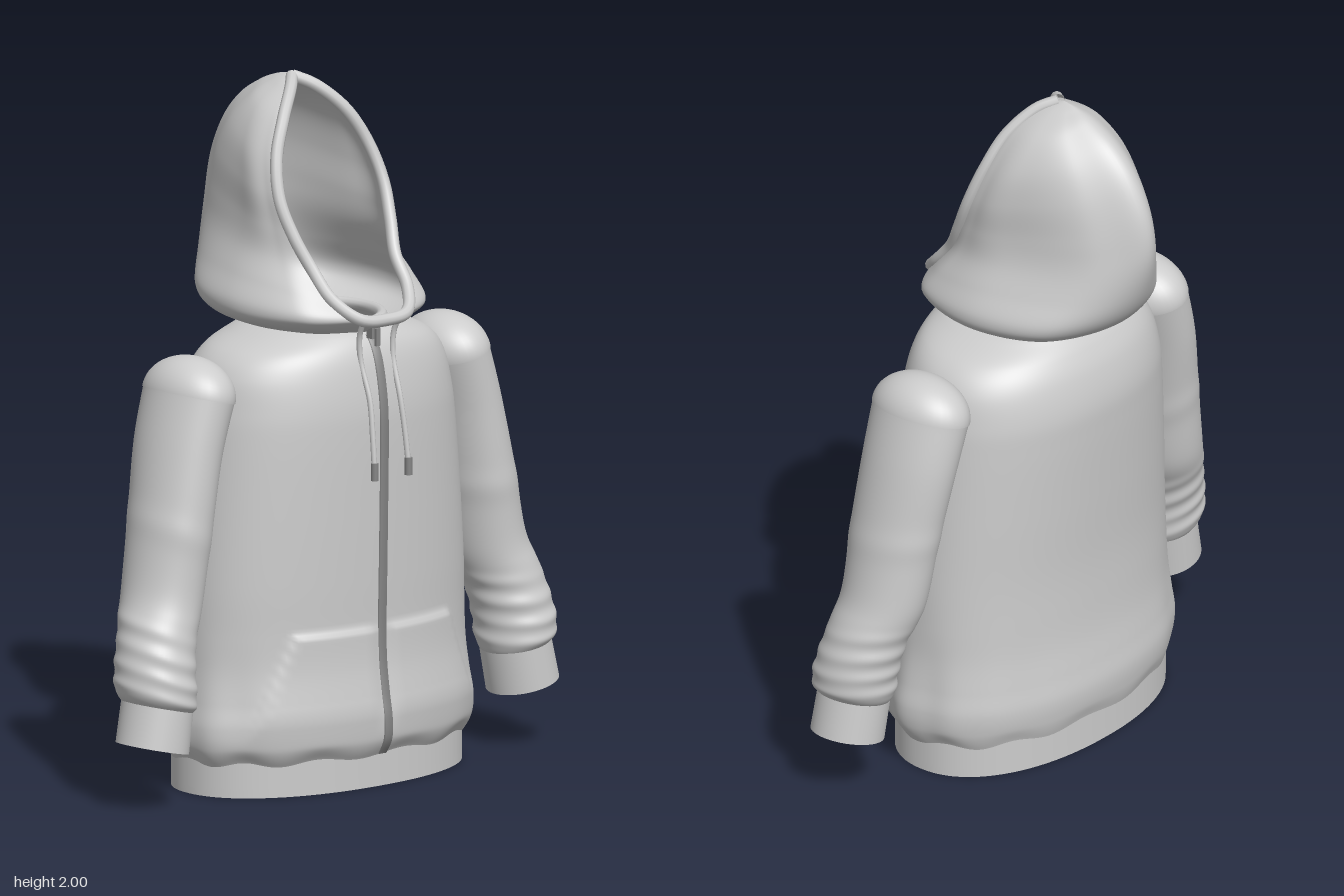
import * as THREE from 'three';

const fabric = new THREE.MeshStandardMaterial({ color: 0xcccccc, side: THREE.DoubleSide });
fabric.name = 'light grey fabric';
const metal = new THREE.MeshStandardMaterial({ color: 0x858585, side: THREE.DoubleSide });
metal.name = 'dark grey metal';

const { smoothstep, lerp } = THREE.MathUtils;
const bump = (d, w) => Math.exp(-(d * d) / (w * w));

// Smooth interpolation of table rows, t from 0 to 1
function sample(rows, t) {
  const n = rows.length - 1;
  const i = Math.min(n - 1, Math.floor(t * n));
  const f = t * n - i;
  const at = k => rows[Math.max(0, Math.min(n, k))];
  return rows[i].map((b, k) => {
    const a = at(i - 1)[k], c = at(i + 1)[k], d = at(i + 2)[k];
    return b + 0.5 * f * (c - a + f * (2 * a - 5 * b + 4 * c - d + f * (3 * (b - c) + d - a)));
  });
}

// Surface grid from fn(u, v) -> [x, y, z]; u may wrap around
function grid(nu, nv, fn, wrap = true) {
  const pos = [], index = [], cols = wrap ? nu : nu + 1;
  for (let j = 0; j <= nv; j++)
    for (let i = 0; i < cols; i++) pos.push(...fn(i / nu, j / nv));
  for (let j = 0; j < nv; j++)
    for (let i = 0; i < nu; i++) {
      const a = j * cols + i, b = j * cols + (i + 1) % cols;
      index.push(a, b, a + cols, b, b + cols, a + cols);
    }
  const g = new THREE.BufferGeometry();
  g.setAttribute('position', new THREE.Float32BufferAttribute(pos, 3));
  g.setIndex(index);
  g.computeVertexNormals();
  return g;
}

// Body rows: height, half width, front z, back z
const BODY = [
  [0.095, 0.478, 0.335, -0.222], [0.14, 0.5, 0.36, -0.235], [0.2, 0.505, 0.362, -0.24],
  [0.27, 0.495, 0.35, -0.232], [0.36, 0.485, 0.338, -0.222], [0.46, 0.481, 0.335, -0.218],
  [0.6, 0.475, 0.338, -0.218], [0.8, 0.46, 0.342, -0.228], [1.0, 0.44, 0.345, -0.238],
  [1.1, 0.425, 0.342, -0.238], [1.19, 0.4, 0.328, -0.218], [1.25, 0.35, 0.31, -0.188],
  [1.29, 0.26, 0.285, -0.155], [1.315, 0.19, 0.25, -0.13],
];

function oval(a, hw, zf, zb) {
  const p = 0.92, s = Math.sin(a), c = Math.cos(a);
  return [Math.sign(s) * Math.abs(s) ** p * hw, (zf + zb) / 2 + Math.sign(c) * Math.abs(c) ** p * (zf - zb) / 2];
}

function bodyPoint(u, v) {
  const a = u * Math.PI * 2;
  let [y, hw, zf, zb] = sample(BODY, v);
  // gathered folds above the hem
  const fold = (Math.sin(a * 9 + 1) + 0.7 * Math.sin(a * 14)) * Math.sin(a) ** 2;
  const k = 1 + 0.009 * fold * bump(y - 0.2, 0.17);
  let [x, z] = oval(a, hw * k, zf, zb);
  z = 0.06 + (z - 0.06) * k;
  // raised front pocket with slanted openings
  const ax = Math.abs(x);
  if (Math.cos(a) > 0) {
    z += 0.012 * smoothstep(0.47 - y, 0, 0.02) * smoothstep(y, 0.15, 0.26)
      * smoothstep(0.295 + (0.46 - y) * 0.45 - ax, 0, 0.02) * smoothstep(ax, 0.015, 0.035);
  }
  y += 0.007 * Math.sin(a * 11) * (1 - smoothstep(y, 0.1, 0.16));
  return [x, y, z];
}

// Sleeve rows, bottom to top: x, y, z, half width, half depth
const SLEEVE = [
  [0.666, 0.285, 0.14, 0.098, 0.104], [0.67, 0.32, 0.138, 0.115, 0.123], [0.663, 0.4, 0.128, 0.114, 0.122],
  [0.638, 0.5, 0.108, 0.109, 0.122], [0.6, 0.6, 0.085, 0.108, 0.128], [0.562, 0.8, 0.075, 0.106, 0.139],
  [0.52, 1.0, 0.06, 0.106, 0.149], [0.475, 1.15, 0.055, 0.109, 0.154],
];
const CUFF = [[0.689, 0.175, 0.145, 0.104, 0.106], [0.666, 0.295, 0.14, 0.1, 0.106]];

function sleevePoint(rows, side, wrinkles) {
  return (u, v) => {
    const a = u * Math.PI * 2 * side;
    const [x, y, z, rx, rz] = sample(rows, v);
    let k = 1;
    if (wrinkles) {
      const h = y + 0.02 * Math.sin(a + 0.8);
      for (const [at, size, w] of [[0.325, 0.05, 0.016], [0.38, 0.06, 0.018], [0.44, 0.06, 0.02], [0.5, 0.045, 0.02], [0.78, 0.03, 0.04]])
        k += size * bump(h - at, w) * (0.75 + 0.25 * Math.sin(2 * a + at * 20));
      k -= 0.035 * smoothstep(0.55 - y, 0, 0.08);
    }
    return [side * (x + rx * k * Math.sin(a * side) * 0.98), y + rx * k * Math.sin(a * side) * 0.22, z + rz * k * Math.cos(a)];
  };
}

// Hood rows, neck to peak: opening edge point, widest side point, back height and depth
const HOOD = [
  [0, 1.3, 0.28, 0.19, 1.3, 0.06, 1.3, -0.14],
  [0, 1.335, 0.35, 0.275, 1.335, 0.05, 1.335, -0.25],
  [0.085, 1.355, 0.345, 0.292, 1.385, 0.02, 1.39, -0.315],
  [0.14, 1.41, 0.285, 0.258, 1.46, 0, 1.48, -0.36],
  [0.155, 1.49, 0.215, 0.222, 1.54, -0.02, 1.6, -0.385],
  [0.18, 1.58, 0.165, 0.21, 1.62, -0.02, 1.72, -0.37],
  [0.193, 1.68, 0.12, 0.205, 1.72, -0.03, 1.83, -0.32],
  [0.17, 1.79, 0.08, 0.18, 1.82, -0.05, 1.91, -0.25],
  [0.115, 1.89, 0.045, 0.125, 1.91, -0.06, 1.96, -0.17],
  [0.045, 1.96, -0.005, 0.05, 1.965, -0.06, 1.98, -0.12],
  [0, 1.985, -0.05, 0, 1.99, -0.07, 1.988, -0.09],
];

function hoodPoint(u, v) {
  const [fx, fy, fz, wx, wy, wz, by, bz] = sample(HOOD, v);
  const narrow = lerp(0.74, 0.58, smoothstep(v, 0.15, 0.45));
  const half = [
    [fx, fy, fz], [lerp(fx, wx, 0.74), (fy + wy) / 2, lerp(wz, fz, 0.7)], [wx, wy, wz],
    [wx * narrow, (wy + by) / 2, lerp(wz, bz, 0.72)],
  ];
  const arc = [...half, [0, by, bz], ...half.map(([x, y, z]) => [-x, y, z]).reverse()];
  const [x, y, z] = sample(arc, u);
  // soft folds running down from the peak
  const s = Math.sin(Math.PI * u);
  const k = 1 + 0.03 * Math.cos(u * Math.PI * 12) * s * s * Math.sin(Math.PI * v) * smoothstep(v, 0.2, 0.5);
  return [x * k, y, -0.05 + (z + 0.05) * k];
}

const tube = (pts, r, n, closed = false) => new THREE.TubeGeometry(
  new THREE.CatmullRomCurve3(pts.map(p => new THREE.Vector3(...p)), closed), n, r, 10, closed);

export function createModel() {
  const model = new THREE.Group();
  model.name = 'hoodie';
  const add = (name, geometry, material = fabric) => {
    const mesh = new THREE.Mesh(geometry, material);
    mesh.name = name;
    model.add(mesh);
    return mesh;
  };

  // Body and hem band
  add('body', grid(160, 150, bodyPoint));
  add('hemBand', grid(96, 4, (u, v) => {
    const [x, z] = oval(u * Math.PI * 2, 0.475, 0.33, -0.22);
    return [x, v * 0.12, z];
  }));

  // Zip strip following the front, with its slider and pull
  const strip = [[-0.013, -0.004], [-0.013, 0.007], [0.013, 0.007], [0.013, -0.004]];
  add('zip', grid(3, 80, (u, v) => {
    const [x, dz] = strip[Math.round(u * 3)];
    const [, y, z] = bodyPoint(0, v * 0.93);
    return [x, y, z + dz];
  }, false), metal);
  add('zipSlider', new THREE.BoxGeometry(0.03, 0.04, 0.025), metal).position.set(0, 1.305, 0.3);
  add('zipPull', new THREE.BoxGeometry(0.016, 0.05, 0.008), metal).position.set(0, 1.29, 0.318);

  // Hood, rolled opening edge and neck seam
  add('hood', grid(96, 80, hoodPoint, false));
  const edge = HOOD.slice(2).map(r => r.slice(0, 3));
  add('hoodTrim', tube([
    ...edge.map(([x, y, z]) => [-x, y, z]).reverse(), [0, 1.345, 0.352], ...edge,
  ], 0.018, 160));
  const ring = Array.from({ length: 16 }, (_, i) => {
    const a = i * Math.PI / 8;
    return [0.19 * Math.sin(a), 1.312, 0.05 + 0.185 * Math.cos(a)];
  });
  add('neckSeam', tube(ring, 0.016, 80, true));

  for (const side of [1, -1]) {
    const label = side > 0 ? 'left' : 'right';

    // Sleeve, shoulder cap and cuff
    add(label + 'Sleeve', grid(56, 110, sleevePoint(SLEEVE, side, true)));
    add(label + 'Cuff', grid(48, 3, sleevePoint(CUFF, side, false)));
    const cap = add(label + 'ShoulderCap', new THREE.SphereGeometry(1, 40, 16, 0, Math.PI * 2, 0, Math.PI / 2));
    cap.scale.set(0.112, 0.112, 0.157);
    cap.rotation.z = 0.24 * side;
    cap.position.set(0.475 * side, 1.148, 0.055);

    // Drawstring with its tip
    add(label + 'Drawstring', tube([
      [0.068 * side, 1.345, 0.335], [0.064 * side, 1.3, 0.315], [0.06 * side, 1.23, 0.315],
      [0.056 * side, 1.12, 0.35], [0.06 * side, 1.02, 0.367], [0.063 * side, 0.93, 0.378],
    ], 0.008, 40));
    add(label + 'DrawstringTip', new THREE.CylinderGeometry(0.011, 0.011, 0.05, 12), metal)
      .position.set(0.063 * side, 0.92, 0.379);
  }
  return model;
}
